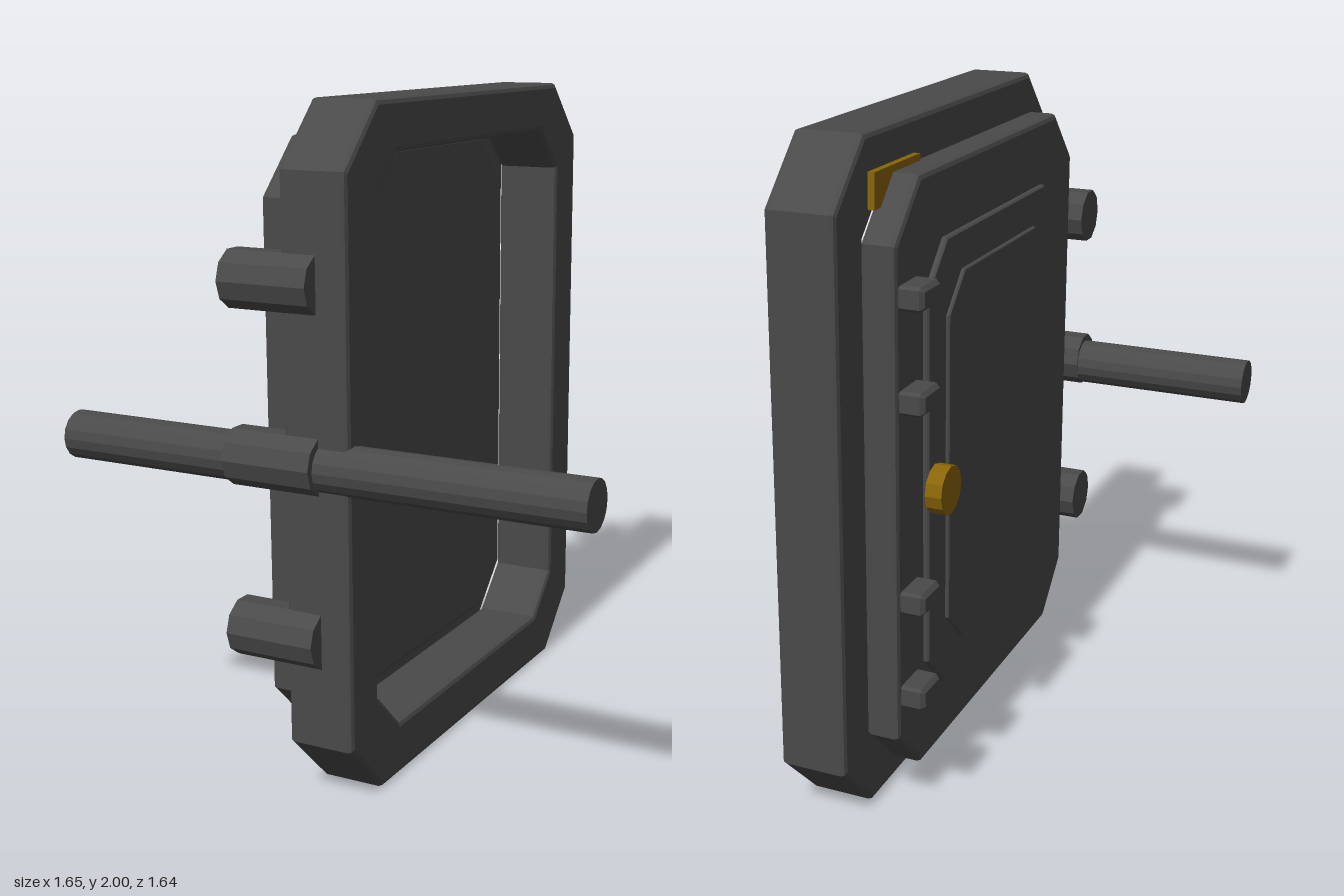
import * as THREE from 'three';

export function createModel() {
  const model = new THREE.Group();
  model.name = 'hatchDoor';
  const iron = new THREE.MeshStandardMaterial({ color: 0x4a4a4a });
  iron.name = 'dark iron';
  const brass = new THREE.MeshStandardMaterial({ color: 0x8a6508 });
  brass.name = 'old brass';

  const add = (name, geometry, material = iron) => {
    const mesh = new THREE.Mesh(geometry, material);
    mesh.name = name;
    model.add(mesh);
    return mesh;
  };

  // Rectangle in the z-y plane with cut corners (shape x is -z)
  const outline = (path, z0, z1, y0, y1, c) => {
    const a = -z1, b = -z0;
    const pts = [[a + c, y0], [b - c, y0], [b, y0 + c], [b, y1 - c],
      [b - c, y1], [a + c, y1], [a, y1 - c], [a, y0 + c]];
    return path.setFromPoints(pts.map(p => new THREE.Vector2(...p)));
  };

  // Bevelled slab between x0 and x1
  const slab = (shape, x0, x1, bevel, segments = 2) => {
    const geo = new THREE.ExtrudeGeometry(shape, {
      depth: x1 - x0 - 2 * bevel, bevelEnabled: true, bevelSize: bevel,
      bevelThickness: bevel, bevelOffset: -bevel, bevelSegments: segments,
    });
    geo.rotateY(Math.PI / 2);
    geo.translate(x0 + bevel, 0, 0);
    return geo;
  };
  const plate = (name, x0, x1, z0, z1, y0, y1, cut, bevel, segments) =>
    add(name, slab(outline(new THREE.Shape(), z0, z1, y0, y1, cut), x0, x1, bevel, segments));

  // Faceted cylinder lying along x
  const rod = (name, x0, x1, y, z, r, sides, material) => {
    let geo = new THREE.CylinderGeometry(r, r, x1 - x0, sides).toNonIndexed();
    geo.computeVertexNormals();
    geo.rotateZ(Math.PI / 2);
    geo.translate((x0 + x1) / 2, y, z);
    return add(name, geo, material);
  };

  // Heavy frame with an open centre
  const frame = outline(new THREE.Shape(), -0.82, 0.76, 0, 2, 0.18);
  frame.holes.push(outline(new THREE.Path(), -0.65, 0.6, 0.165, 1.85, 0.13));
  add('frame', slab(frame, -0.092, 0.115, 0.016));

  // Door leaf: inner flange, main slab and two raised outer panels
  plate('doorFlange', -0.135, -0.085, -0.642, 0.588, 0.175, 1.84, 0.13, 0.022);
  plate('doorSlab', -0.218, -0.115, -0.725, 0.65, 0.12, 1.89, 0.16, 0.016);
  plate('outerPanel', -0.235, -0.21, -0.55, 0.48, 0.32, 1.69, 0.13, 0.005, 1);
  plate('centrePanel', -0.246, -0.23, -0.43, 0.355, 0.43, 1.58, 0.11, 0.004, 1);

  // Locking lugs along the free edge
  for (const y of [0.415, 0.71, 1.3, 1.59]) {
    plate('lockingLug', -0.292, -0.21, -0.712, -0.592, y - 0.034, y + 0.034, 0.008, 0.012, 1);
  }

  // Hinge knuckles and the long bar
  for (const y of [0.5, 1.01, 1.515]) rod('hingeKnuckle', -0.26, 0.02, y, 0.733, 0.086, 10);
  rod('hingeBar', -0.83, 0.825, 1.003, 0.725, 0.072, 16);

  // Brass knob and label plate
  rod('knob', -0.3, -0.25, 1, -0.54, 0.072, 12, brass);
  add('labelPlate', new THREE.BoxGeometry(0.02, 0.1, 0.29), brass).position.set(-0.13, 1.86, -0.535);

  return model;
}
